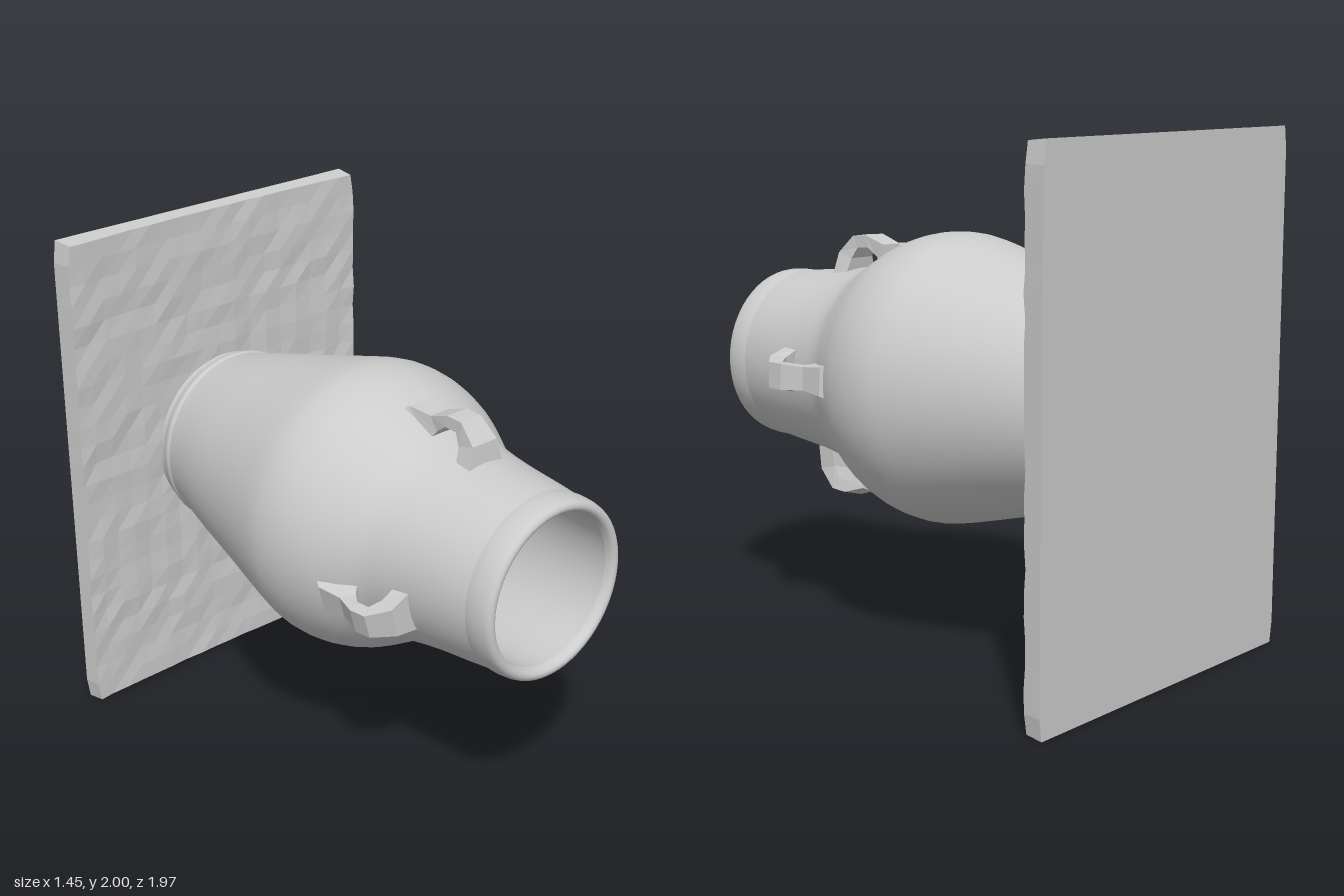
import * as THREE from 'three';

const smooth = new THREE.MeshStandardMaterial({ color: 0xcccccc, side: THREE.DoubleSide });
const faceted = new THREE.MeshStandardMaterial({ color: 0xcccccc, flatShading: true });

const CENTRE_Y = 1.028;

// Smooth curve through [radius, z] pairs
function curve(pairs, n) {
  return new THREE.SplineCurve(pairs.map(p => new THREE.Vector2(...p))).getPoints(n);
}

// Lathe laid along z, with its axis leaning slightly; drop(z) lowers the axis further
function lathe(points, drop = () => 0) {
  const g = new THREE.LatheGeometry(points, 56);
  g.rotateX(Math.PI / 2);
  const p = g.attributes.position;
  for (let i = 0; i < p.count; i++) {
    const z = p.getZ(i);
    p.setX(i, p.getX(i) - 0.003 - 0.024 * z);
    p.setY(i, p.getY(i) + CENTRE_Y + 0.006 * z - drop(z));
  }
  return g;
}

// Repeatable unevenness from a position, -1..1
function wobble(x, y) {
  const s = Math.sin(x * 127.1 + y * 311.7) * 43758.5453;
  return (s - Math.floor(s)) * 2 - 1;
}

// Slab with slightly hollow, uneven front and worn edges
function plateGeometry() {
  const g = new THREE.BoxGeometry(1.45, 2, 0.08, 18, 24, 1);
  const p = g.attributes.position;
  for (let i = 0; i < p.count; i++) {
    const x = p.getX(i), y = p.getY(i), front = p.getZ(i) > 0;
    const n = wobble(Math.round(x * 100), Math.round(y * 100));
    const edgeX = Math.abs(x) > 0.72, edgeY = Math.abs(y) > 0.99;
    let z = -0.985;
    if (front) z = -0.907 - 0.02 * (1 - (x / 0.725) ** 2) + 0.008 * y + 0.005 * n;
    const worn = front ? 0.008 : 0;
    const corner = edgeX && edgeY ? 0.012 : 0;
    p.setXYZ(i,
      x - Math.sign(x) * (edgeX ? worn + corner : 0),
      y + 1 - Math.sign(y) * (edgeY ? worn : 0), z);
  }
  return g;
}

// Strap handle: sections of [outer z, outer r, inner z, inner r, half width]
function lugGeometry() {
  const sections = [
    [0.61, 0.36, 0.54, 0.36, 0.085],
    [0.60, 0.45, 0.53, 0.43, 0.06],
    [0.53, 0.52, 0.505, 0.475, 0.05],
    [0.46, 0.525, 0.45, 0.478, 0.05],
    [0.37, 0.495, 0.405, 0.445, 0.045],
    [0.27, 0.505, 0.37, 0.40, 0.055],
    [0.22, 0.47, 0.30, 0.40, 0.08],
  ];
  const pos = [], idx = [];
  for (const [zo, ro, zi, ri, w] of sections)
    pos.push(-w, ri, zi, w, ri, zi, w, ro, zo, -w, ro, zo);
  for (let s = 0; s < sections.length - 1; s++)
    for (let k = 0; k < 4; k++) {
      const a = s * 4 + k, b = s * 4 + (k + 1) % 4;
      idx.push(a, a + 4, b, b, a + 4, b + 4);
    }
  const g = new THREE.BufferGeometry();
  g.setAttribute('position', new THREE.Float32BufferAttribute(pos, 3));
  g.setIndex(idx);
  g.computeVertexNormals();
  return g;
}

export function createModel() {
  const group = new THREE.Group();
  const add = (name, geometry, material) => {
    const m = new THREE.Mesh(geometry, material);
    m.name = name;
    group.add(m);
    return m;
  };

  add('backPlate', plateGeometry(), faceted);

  // Outer wall from the foot to the mouth
  add('jarBody', lathe(curve([
    [0.362, -0.84], [0.376, -0.78], [0.425, -0.6], [0.475, -0.4], [0.528, -0.2],
    [0.557, -0.08], [0.565, 0], [0.555, 0.1], [0.52, 0.21], [0.465, 0.31],
    [0.415, 0.4], [0.39, 0.5], [0.372, 0.62], [0.356, 0.78], [0.345, 0.87],
  ], 48)), smooth);

  // Narrow collar against the plate
  add('jarFoot', lathe(curve([
    [0.345, -0.95], [0.345, -0.9], [0.358, -0.88], [0.366, -0.855], [0.362, -0.84],
  ], 12)), smooth);

  // Rounded lip around the mouth
  add('mouthRim', lathe(curve([
    [0.345, 0.87], [0.348, 0.9], [0.346, 0.94], [0.338, 0.972], [0.32, 0.983],
    [0.303, 0.975], [0.294, 0.95],
  ], 20)), smooth);

  // Hollow inside, narrowing to a low-set floor
  const drop = z => 0.15 * THREE.MathUtils.smoothstep(-z, -0.1, 0.8);
  add('jarInterior', lathe([
    ...curve([
      [0.294, 0.95], [0.30, 0.8], [0.32, 0.6], [0.36, 0.4], [0.45, 0.2],
      [0.47, 0], [0.41, -0.25], [0.32, -0.5], [0.24, -0.75], [0.215, -0.82],
    ], 36),
    new THREE.Vector2(0, -0.83),
  ], drop), smooth);

  // Four lugs on the shoulder, unevenly spaced
  const lug = lugGeometry();
  [90, 2, 195, 285].forEach((deg, i) => {
    const m = add('shoulderLug' + (i + 1), lug, faceted);
    m.position.set(-0.012, CENTRE_Y, 0);
    m.rotation.z = THREE.MathUtils.degToRad(deg - 90);
  });

  return group;
}
